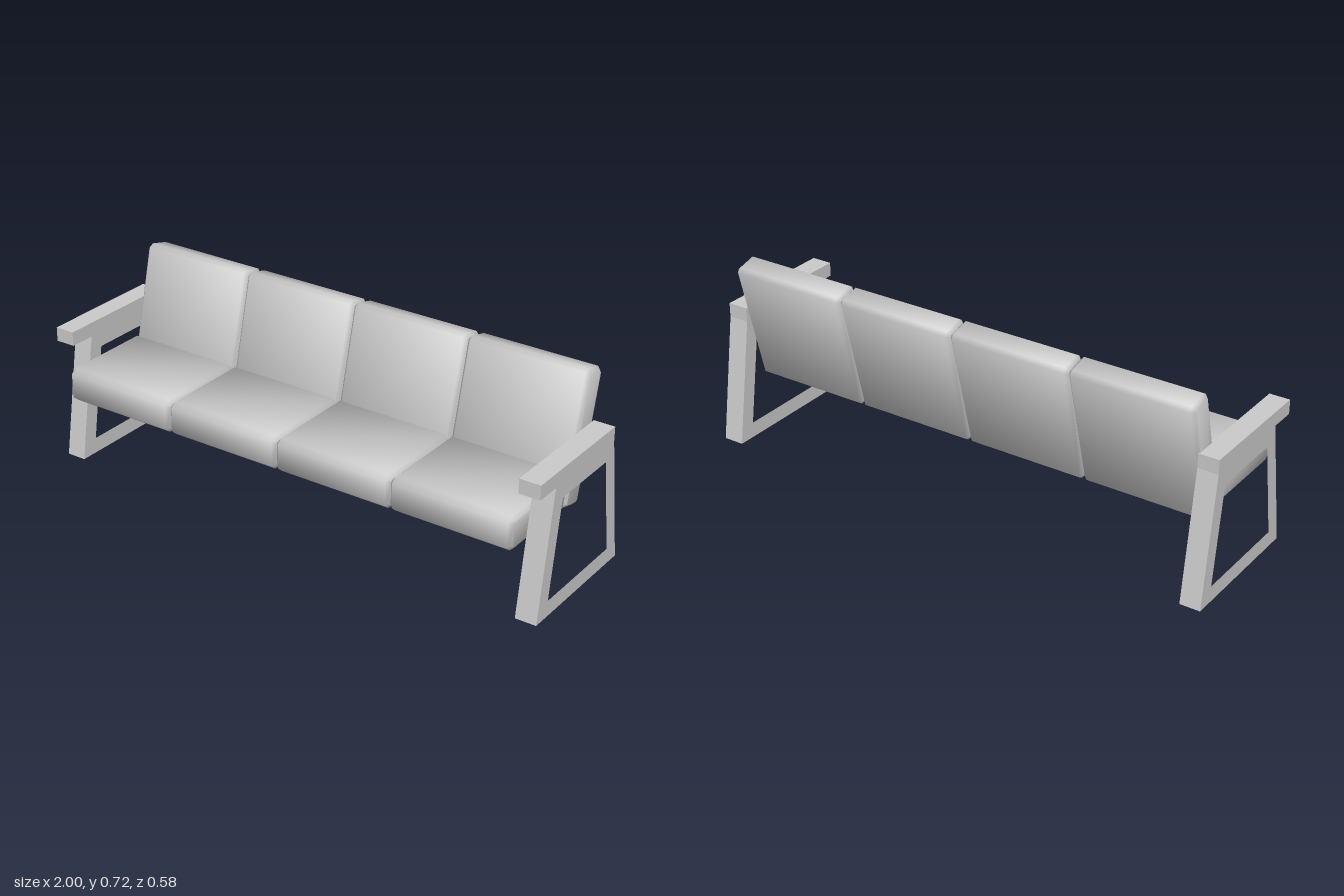
import * as THREE from 'three';
import { toCreasedNormals } from 'three/addons/utils/BufferGeometryUtils.js';

const material = new THREE.MeshStandardMaterial({ color: 0xcccccc });

// Side profiles are [z, y] points; the shape uses -z so it turns into place
const points = (list) => list.map(([z, y]) => new THREE.Vector2(-z, y));

// Extrude a side profile along x from x0 to x1, with chamfered ends
function extrudeAlongX(profile, x0, x1, bevel = 0, hole = null) {
  const shape = new THREE.Shape(points(profile));
  if (hole) shape.holes.push(new THREE.Path(points(hole)));
  const geometry = new THREE.ExtrudeGeometry(shape, {
    depth: x1 - x0 - 2 * bevel,
    bevelEnabled: bevel > 0,
    bevelSize: bevel,
    bevelThickness: bevel,
    bevelOffset: -bevel,
    bevelSegments: 1,
  });
  geometry.rotateY(Math.PI / 2).translate(x0 + bevel, 0, 0);
  return geometry;
}

// Leg frame with forward-reaching armrest
const frameProfile = [
  [0.244, 0], [0.165, 0.471], [0.263, 0.471], [0.263, 0.524],
  [-0.217, 0.524], [-0.217, 0.471], [-0.288, 0],
];
const frameHole = [[0.175, 0.059], [0.116, 0.414], [-0.167, 0.414], [-0.221, 0.059]];

// Cushions: chamfered blocks, the back one leaning
const seatProfile = [
  [0.29, 0.279], [0.29, 0.37], [0.269, 0.387], [-0.072, 0.387],
  [-0.081, 0.37], [-0.058, 0.273], [-0.049, 0.261], [0.269, 0.261],
];
const backProfile = [
  [-0.058, 0.273], [-0.168, 0.71], [-0.185, 0.72], [-0.255, 0.702],
  [-0.266, 0.685], [-0.154, 0.25], [-0.137, 0.239], [-0.064, 0.258],
];

export function createModel() {
  const model = new THREE.Group();
  model.name = 'sofa';

  const add = (name, geometry) => {
    const mesh = new THREE.Mesh(geometry, material);
    mesh.name = name;
    model.add(mesh);
  };

  // Side frames
  add('rightFrame', extrudeAlongX(frameProfile, -1, -0.924, 0, frameHole));
  add('leftFrame', extrudeAlongX(frameProfile, 0.921, 1, 0, frameHole));

  // Four seat and back cushions side by side, softly shaded
  const start = -0.928, width = 0.4615, bevel = 0.014;
  const cushion = (profile, x) => {
    const geometry = extrudeAlongX(profile, x, x + width, bevel);
    geometry.deleteAttribute('uv');
    return toCreasedNormals(geometry, 1.3);
  };
  for (let i = 0; i < 4; i++) {
    const x = start + i * width;
    add(`seatCushion${i + 1}`, cushion(seatProfile, x));
    add(`backCushion${i + 1}`, cushion(backProfile, x));
  }
  return model;
}
